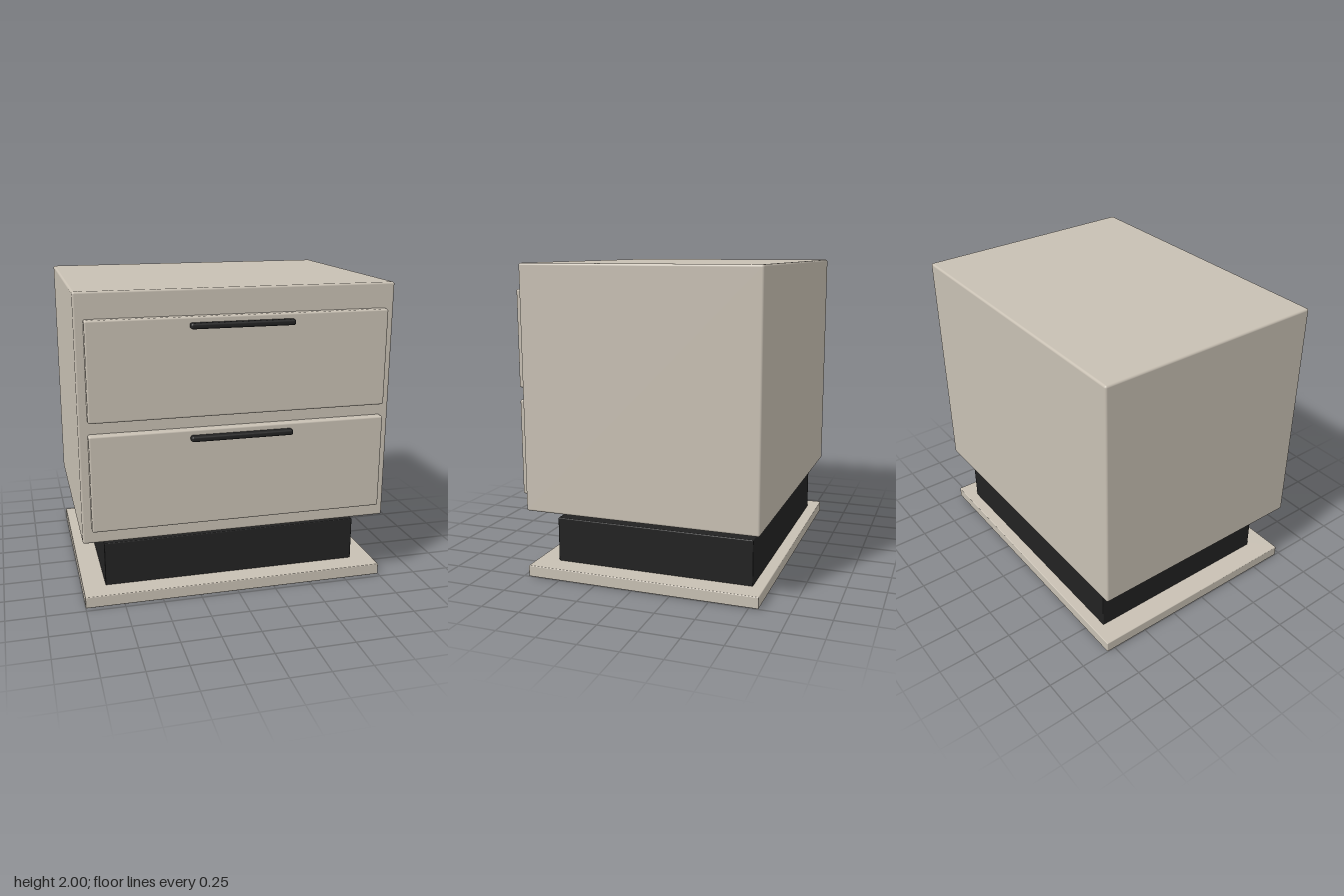
import * as THREE from 'three';
import { RoundedBoxGeometry } from 'three/addons/geometries/RoundedBoxGeometry.js';

export function createModel() {
  const model = new THREE.Group();
  model.name = 'nightstand';
  const taupe = new THREE.MeshStandardMaterial({ color: 0xc8c0b3 });
  const black = new THREE.MeshStandardMaterial({ color: 0x222222 });

  // Rounded box centred on x, given its y and z extents
  function block(name, material, width, [y0, y1], [z0, z1], radius) {
    const geometry = new RoundedBoxGeometry(width, y1 - y0, z1 - z0, 3, radius);
    const mesh = new THREE.Mesh(geometry, material);
    mesh.name = name;
    mesh.position.set(0, (y0 + y1) / 2, (z0 + z1) / 2);
    model.add(mesh);
  }

  // Floor slab, recessed plinth and cabinet, with a shadow gap under the cabinet
  block('baseSlab', taupe, 2, [0, 0.075], [-0.81, 0.717], 0.006);
  block('plinth', black, 1.706, [0.002, 0.366], [-0.735, 0.572], 0.006);
  block('cabinet', taupe, 2, [0.442, 2], [-0.81, 0.717], 0.014);

  // Two drawers, each with a slim pull bar near its top edge
  [['upper', 1.226], ['lower', 0.534]].forEach(([level, y]) => {
    block(level + 'DrawerFront', taupe, 1.886, [y, y + 0.614], [0.66, 0.77], 0.012);
    block(level + 'Handle', black, 0.65, [y + 0.544, y + 0.58], [0.755, 0.81], 0.014);
  });

  return model;
}
